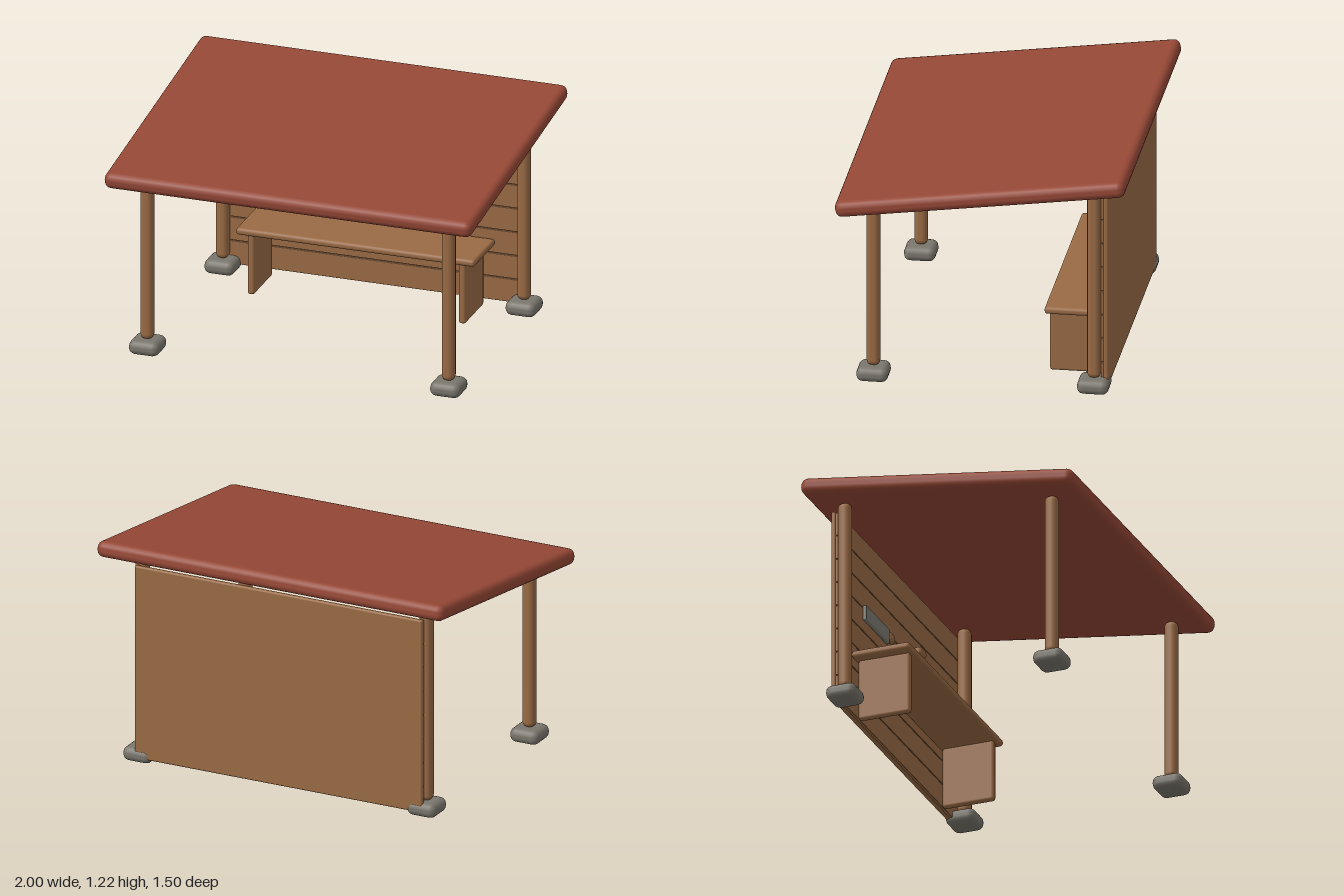
import * as THREE from 'three';
import { RoundedBoxGeometry } from 'three/addons/geometries/RoundedBoxGeometry.js';

const mat = (name, color) => {
  const m = new THREE.MeshStandardMaterial({ color });
  m.name = name;
  return m;
};

export function createModel() {
  const wood = mat('brown wood', 0x9a6b45);
  const red = mat('red roof', 0x964836);
  const stone = mat('grey stone', 0x7a766d);
  const metal = mat('dull metal', 0x7d7c73);

  const model = new THREE.Group();
  model.name = 'shelter';

  // bevelled block given by its min and max on each axis
  const block = (name, material, [x0, x1], [y0, y1], [z0, z1], radius, parent = model) => {
    const geo = new RoundedBoxGeometry(x1 - x0, y1 - y0, z1 - z0, 2, radius);
    const mesh = new THREE.Mesh(geo, material);
    mesh.name = name;
    mesh.position.set((x0 + x1) / 2, (y0 + y1) / 2, (z0 + z1) / 2);
    parent.add(mesh);
    return mesh;
  };
  const group = (name) => {
    const g = new THREE.Group();
    g.name = name;
    model.add(g);
    return g;
  };

  // sloping roof slab, higher at the back
  const roof = block('roof', red, [-1, 1], [1.04, 1.126], [-0.757, 0.757], 0.036);
  roof.rotation.x = Math.atan(0.135);

  // four posts on stone footings
  for (const side of [-1, 1]) {
    for (const [label, z, top] of [['front', 0.573, 0.96], ['back', -0.57, 1.118]]) {
      const x = side * 0.82;
      block(label + 'Post', wood, [x - 0.034, x + 0.034], [0.075, top], [z - 0.035, z + 0.035], 0.028);
      block(label + 'Footing', stone, [x - 0.082, x + 0.082], [0, 0.077], [z - 0.082, z + 0.082], 0.034);
    }
  }

  // back wall: a backing board faced with horizontal planks
  const wall = group('backWall');
  block('backingBoard', wood, [-0.83, 0.83], [0.025, 1.085], [-0.645, -0.618], 0.01, wall);
  const planks = 8, pitch = 1.05 / planks;
  for (let i = 0; i < planks; i++) {
    const y = 0.03 + i * pitch;
    block('plank', wood, [-0.825, 0.825], [y, y + pitch - 0.004], [-0.622, -0.605], 0.003, wall);
  }

  // bench
  const bench = group('bench');
  block('benchSeat', wood, [-0.65, 0.65], [0.333, 0.371], [-0.605, -0.285], 0.016, bench);
  for (const x of [-0.575, 0.575]) {
    block('benchLeg', wood, [x - 0.019, x + 0.019], [0.003, 0.337], [-0.59, -0.305], 0.014, bench);
  }

  // tools hung on the wall
  const saw = group('saw');
  block('sawBlade', metal, [-0.49, -0.165], [0.613, 0.697], [-0.605, -0.585], 0.006, saw);
  block('sawHandle', wood, [-0.175, -0.11], [0.633, 0.681], [-0.605, -0.575], 0.012, saw);
  const mallet = group('mallet');
  block('malletHead', wood, [0.2, 0.285], [0.713, 0.761], [-0.605, -0.56], 0.018, mallet);
  block('malletShaft', wood, [0.23, 0.255], [0.535, 0.72], [-0.602, -0.577], 0.01, mallet);
  block('metalPlate', metal, [0.47, 0.59], [0.535, 0.699], [-0.605, -0.585], 0.006);

  return model;
}
